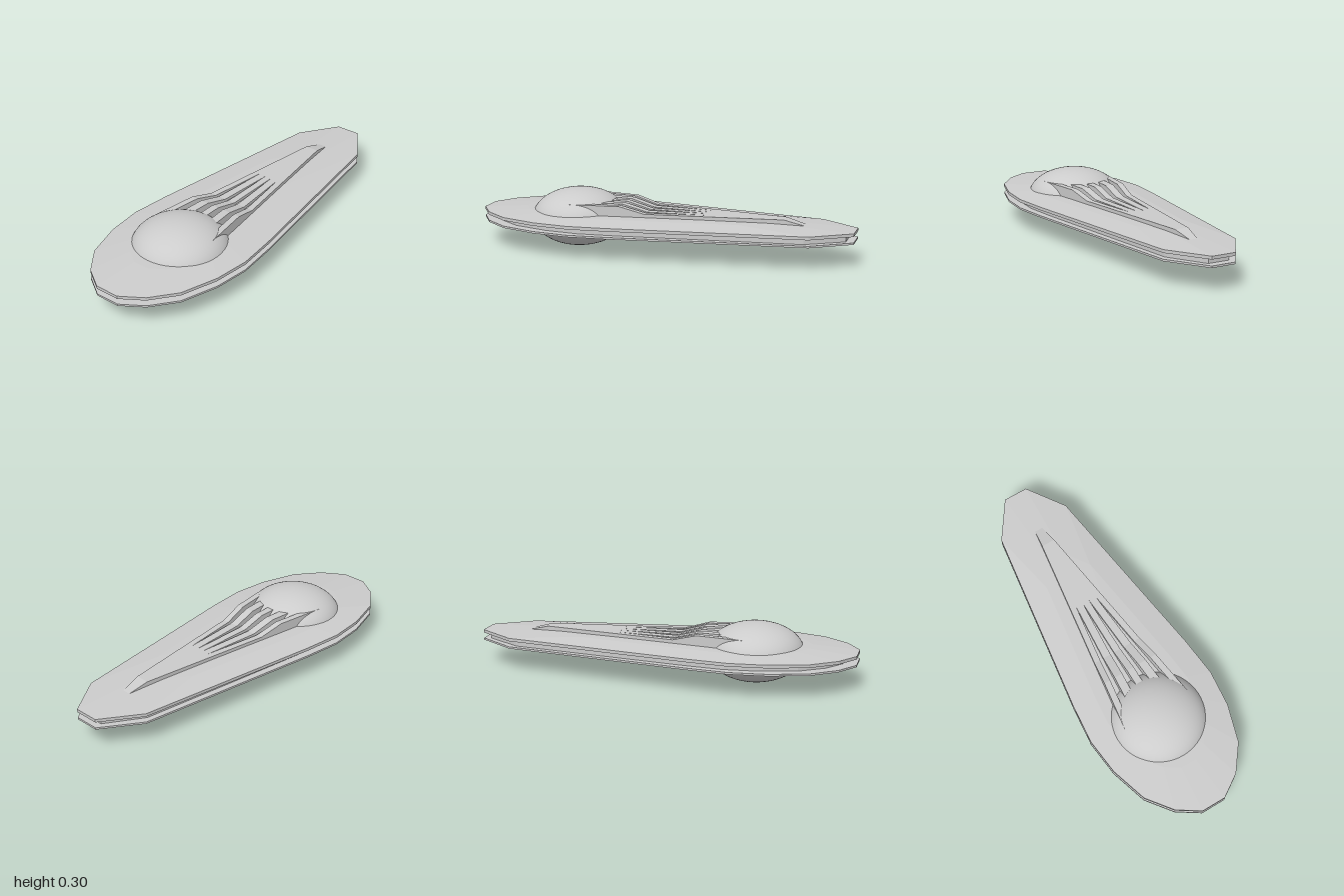
import * as THREE from 'three';

const material = new THREE.MeshStandardMaterial({ color: 0xcccccc, flatShading: true });
const smooth = new THREE.MeshStandardMaterial({ color: 0xcccccc });

// Closed solid through rings of points (counter-clockwise seen from the end).
function loft(name, rings) {
  const pos = [];
  const tri = (...pts) => pts.forEach((p) => pos.push(...p));
  const centre = (ring) => [0, 1, 2].map((k) => ring.reduce((s, p) => s + p[k], 0) / ring.length);
  const first = rings[0], last = rings[rings.length - 1], n = first.length;
  for (let i = 0; i < n; i++) {
    const j = (i + 1) % n;
    for (let r = 0; r + 1 < rings.length; r++) {
      const a = rings[r], b = rings[r + 1];
      tri(a[i], a[j], b[j]);
      tri(a[i], b[j], b[i]);
    }
    tri(centre(first), first[j], first[i]);
    tri(centre(last), last[i], last[j]);
  }
  const geometry = new THREE.BufferGeometry();
  geometry.setAttribute('position', new THREE.Float32BufferAttribute(pos, 3));
  geometry.computeVertexNormals();
  const mesh = new THREE.Mesh(geometry, material);
  mesh.name = name;
  return mesh;
}

// Hull outline in plan, right half from bow to stern, then mirrored.
const half = [[0.065, 1], [0.18, 0.925], [0.28, 0.795], [0.34, 0.6], [0.36, 0.41],
  [0.34, 0.2], [0.2, -0.8], [0.065, -1]];
const outline = [...half, ...half.map(([x, z]) => [-x, z]).reverse()];
const MID_Z = 0.3;
const hullRing = (y, s = 1) => outline.map(([x, z]) => [x * s, y, MID_Z + (z - MID_Z) * s]);

// Half-width of the raised spine at a given z.
const spineEdge = (z) => 0.02 + (z + 0.76) * 0.139;
const spineTop = [[-0.76, 0.184], [-0.64, 0.215], [-0.25, 0.215], [0.07, 0.215], [0.2, 0.25], [0.46, 0.25]];
const section = (z, left, right, top) =>
  [[left, 0.172, z], [right, 0.172, z], [right, top, z], [left, top, z]];

export function createModel() {
  const model = new THREE.Group();

  // Two shallow hull plates with a recessed band between them
  model.add(loft('upperHull', [hullRing(0.162), hullRing(0.178), hullRing(0.195, 0.66), hullRing(0.202, 0.05)]));
  model.add(loft('lowerHull', [hullRing(0.099, 0.05), hullRing(0.108, 0.66), hullRing(0.122), hullRing(0.132)]));
  const band = (y) => outline.map(([x, z]) => [x * 0.875, y, z * 0.945 - 0.015]);
  model.add(loft('recessedBand', [band(0.125), band(0.17)]));

  // Ellipsoid dome passing through both plates
  const dome = new THREE.Mesh(new THREE.SphereGeometry(0.25, 48, 32), smooth);
  dome.name = 'dome';
  dome.scale.y = 0.606;
  dome.position.set(0, 0.1515, 0.475);
  model.add(dome);

  // Solid tail of the spine
  model.add(loft('spineTail', spineTop.slice(0, 3).map(([z, y]) =>
    section(z, -spineEdge(z), spineEdge(z), y))));

  // Five ridges fan forward from the tail into the dome, split by tapering grooves
  const ridges = [
    // [left, right] at the tail, then at the dome
    [[-spineEdge(-0.25), -0.058], [-spineEdge(0.46), -0.155]],
    [[-0.058, -0.018], [-0.113, -0.066]],
    [[-0.018, 0.018], [-0.02, 0.02]],
    [[0.018, 0.058], [0.066, 0.113]],
    [[0.058, spineEdge(-0.25)], [0.155, spineEdge(0.46)]],
  ];
  const fan = new THREE.Group();
  fan.name = 'spineRidges';
  ridges.forEach(([back, front], i) => {
    fan.add(loft(`ridge${i + 1}`, spineTop.slice(2).map(([z, y]) => {
      const t = (z + 0.25) / 0.71;
      return section(z, THREE.MathUtils.lerp(back[0], front[0], t), THREE.MathUtils.lerp(back[1], front[1], t), y);
    })));
  });
  model.add(fan);
  return model;
}
